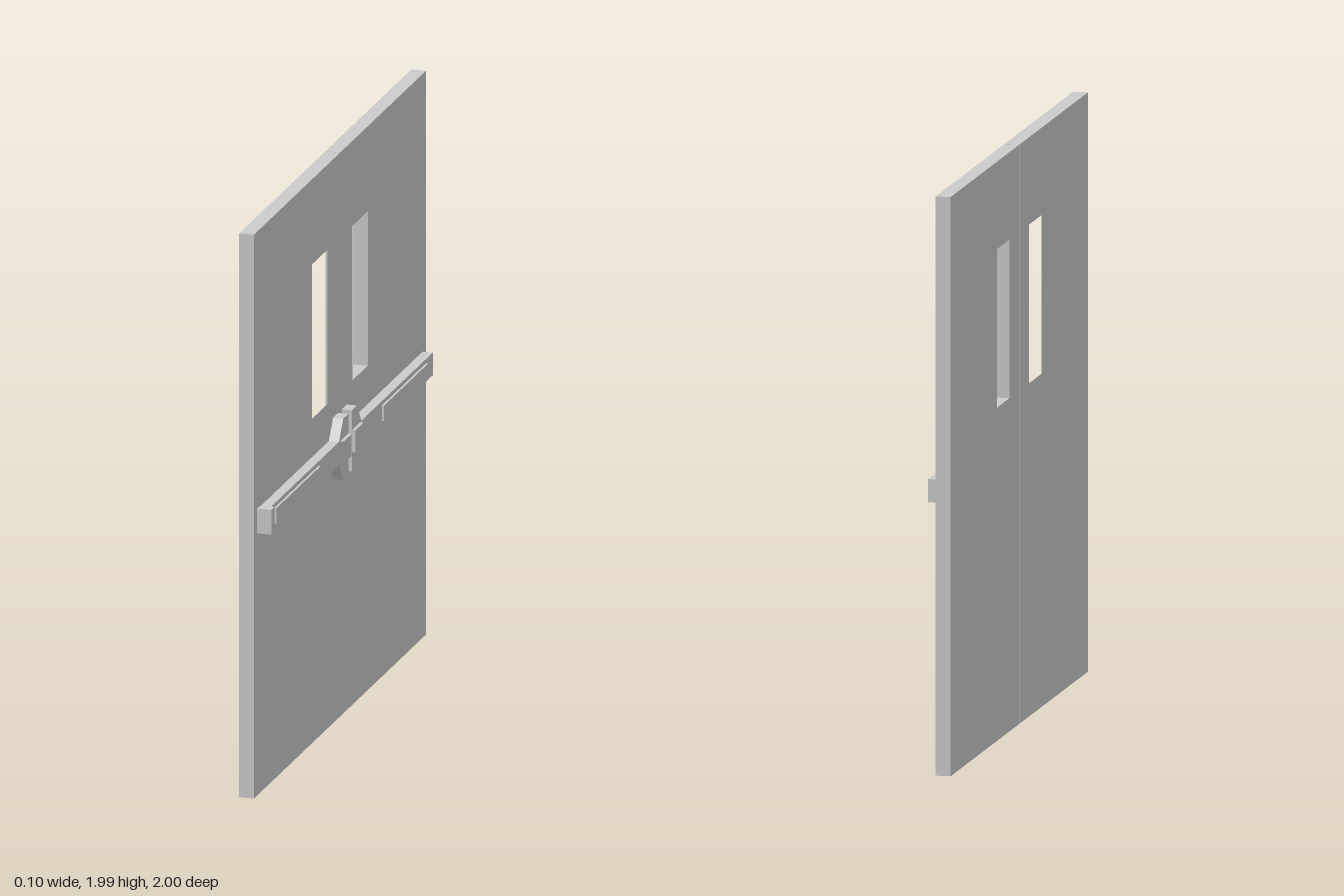
import * as THREE from 'three';

const material = new THREE.MeshStandardMaterial({ color: 0xcccccc, flatShading: true });

function add(group, name, geometry) {
  const mesh = new THREE.Mesh(geometry, material);
  mesh.name = name;
  group.add(mesh);
}

// Box given by its x, y and z ranges
function block(x0, x1, y0, y1, z0, z1) {
  return new THREE.BoxGeometry(x1 - x0, y1 - y0, Math.abs(z1 - z0))
    .translate((x0 + x1) / 2, (y0 + y1) / 2, (z0 + z1) / 2);
}

const outline = (points) => points.map(([a, b]) => new THREE.Vector2(a, b));

// Outline of [z, y] points extruded along x
function slab(points, x0, x1, hole) {
  const flip = (list) => outline(list.map(([z, y]) => [-z, y]));
  const shape = new THREE.Shape(flip(points));
  if (hole) shape.holes.push(new THREE.Path(flip(hole)));
  return new THREE.ExtrudeGeometry(shape, { depth: x1 - x0, bevelEnabled: false })
    .rotateY(Math.PI / 2).translate(x0, 0, 0);
}

// Outline of [x, z] points extruded upwards
function prism(points, y0, y1) {
  const shape = new THREE.Shape(outline(points.map(([x, z]) => [x, -z])));
  return new THREE.ExtrudeGeometry(shape, { depth: y1 - y0, bevelEnabled: false })
    .rotateX(-Math.PI / 2).translate(0, y0, 0);
}

const rect = (z0, z1, y0, y1) => [[z0, y0], [z1, y0], [z1, y1], [z0, y1]];

function createLeaf(s) {
  const leaf = new THREE.Group();
  leaf.name = s > 0 ? 'frontLeaf' : 'backLeaf';

  // Door panel with a tall window opening
  add(leaf, 'doorPanel', slab(rect(s * 0.002, s, 0, 1.99), -0.052, 0,
    rect(s * 0.143, s * 0.323, 1.145, 1.69)));

  // Push bar rail and raised touch pad
  add(leaf, 'pushBar', block(0, 0.036, 0.93, 1.01, s * 0.12, s * 0.96));
  add(leaf, 'touchPad', block(0.03, 0.044, 0.94, 0.995, s * 0.368, s * 0.88));

  // Latch housing with clipped outer corners
  add(leaf, 'latchHousing', slab([[0.022, 0.862], [0.08, 0.862], [0.13, 0.935],
    [0.13, 1.01], [0.08, 1.078], [0.022, 1.078]].map(([z, y]) => [s * z, y]), 0, 0.036));

  // Raised latch cover, sloping down to the rail
  add(leaf, 'latchCover', prism([[0.03, 0.022], [0.048, 0.022], [0.048, 0.108],
    [0.036, 0.128], [0.03, 0.128]].map(([x, z]) => [x, s * z]), 0.93, 1.008));
  return leaf;
}

export function createModel() {
  const model = new THREE.Group();
  model.name = 'doubleDoor';
  const front = createLeaf(1);
  model.add(front, createLeaf(-1));

  // End cap on the front leaf's bar
  add(front, 'endCap', prism([[0, 0.92], [0.04, 0.92], [0.05, 0.928], [0.05, 0.962], [0, 0.962]],
    0.925, 1.012));
  return model;
}
